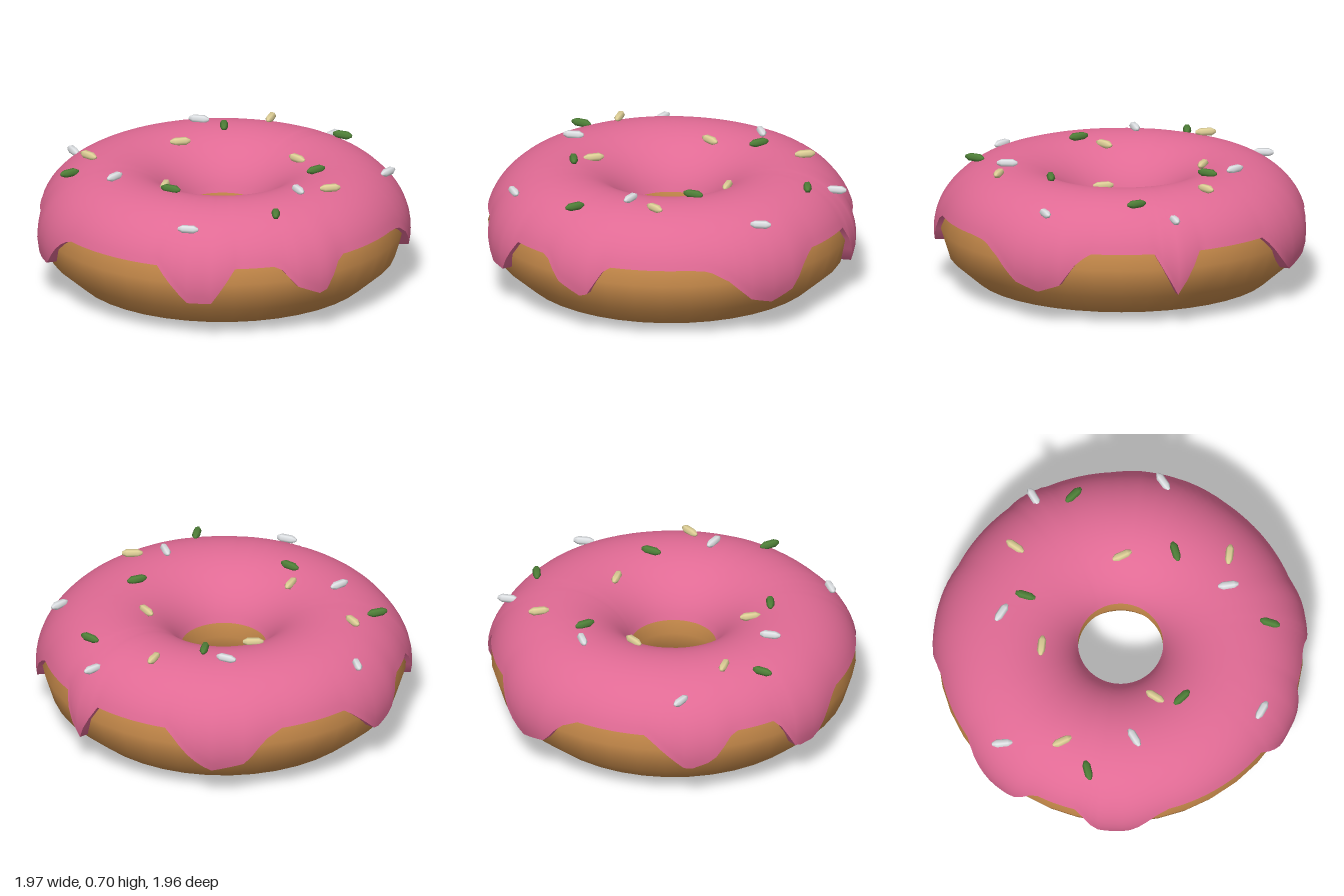
import * as THREE from 'three';

const RING = 0.6, MID_Y = 0.32, CX = -0.02, CZ = -0.008;
const ICING_R = 0.385, ICING_H = 0.345, RIM = 0.41;

// Lower icing edge: angle around the ring (degrees, from +x towards +z) and height
const edge = [
  [0, 0.18], [7.5, RIM], [28, RIM], [32, 0.36], [37.5, 0.23], [45, 0.18], [52.5, 0.22], [60, 0.34],
  [66, 0.4], [72, RIM], [99, RIM], [106, 0.22], [115, 0.29], [121, RIM], [135, RIM], [142.5, 0.22],
  [150, 0.22], [160, RIM], [196, RIM], [201, 0.36], [209, 0.21], [217, 0.21], [224, RIM], [239, RIM],
  [246, 0.26], [254, 0.21], [261, 0.32], [267, RIM], [290, RIM], [296, 0.36], [302, 0.23],
  [313, 0.18], [319, 0.26], [327, RIM], [352.5, RIM], [360, 0.18],
];

function edgeHeight(deg) {
  const k = edge.findIndex((e, i) => i > 0 && e[0] >= deg);
  const [a0, y0] = edge[k - 1], [a1, y1] = edge[k];
  return y0 + (y1 - y0) * (deg - a0) / (a1 - a0);
}

// Closed ring surface from rows; profile(row, degrees) gives [radius, height]
function ringSurface(rows, cols, profile) {
  const pos = [], index = [];
  for (let i = 0; i < rows; i++) {
    for (let j = 0; j < cols; j++) {
      const deg = 360 * j / cols, a = THREE.MathUtils.degToRad(deg);
      const [r, y] = profile(i, deg);
      pos.push(r * Math.cos(a), y, r * Math.sin(a));
      if (i === rows - 1) continue;
      const p = i * cols + j, q = i * cols + (j + 1) % cols;
      index.push(p, q, p + cols, q, q + cols, p + cols);
    }
  }
  const g = new THREE.BufferGeometry();
  g.setAttribute('position', new THREE.Float32BufferAttribute(pos, 3));
  g.setIndex(index);
  g.computeVertexNormals();
  return g;
}

// Icing cross-section: t runs from the inner rim (0) over the top to the dripping edge (1)
function icingPoint(t, deg) {
  const y = edgeHeight(deg);
  const start = Math.PI * 0.92, end = Math.asin((y - MID_Y) / ICING_H);
  const phi = start + (end - start) * t;
  const bulge = 0.03 * (RIM - y) / 0.23 * t ** 4;
  return [RING + ICING_R * Math.cos(phi) + bulge, MID_Y + ICING_H * Math.sin(phi)];
}

export function createModel() {
  const group = new THREE.Group();
  const material = (name, color, side = THREE.FrontSide) => {
    const m = new THREE.MeshStandardMaterial({ color, side });
    m.name = name;
    return m;
  };
  const doughMat = material('dough', 0xc88b4b);
  const icingMat = material('pink icing', 0xe06a94, THREE.DoubleSide);
  const white = material('white sprinkle', 0xdfe2e5);
  const green = material('green sprinkle', 0x4f8038);
  const cream = material('cream sprinkle', 0xe0d198);

  const add = (name, geometry, mat, x, y, z) => {
    const mesh = new THREE.Mesh(geometry, mat);
    mesh.name = name;
    mesh.position.set(x, y, z);
    group.add(mesh);
    return mesh;
  };

  // Dough ring
  const dough = new THREE.TorusGeometry(RING, 0.372, 12, 40);
  dough.rotateX(Math.PI / 2);
  dough.scale(1, MID_Y / 0.372, 1);
  add('dough', dough, doughMat, CX, MID_Y, CZ);

  // Icing with drips, and the narrow lips that meet the dough
  const ROWS = 25, COLS = 144;
  add('icing', ringSurface(ROWS, COLS, (i, d) => icingPoint(i / (ROWS - 1), d)), icingMat, CX, 0, CZ);
  const lip = (t, inset) => ringSurface(2, COLS, (i, d) => {
    const [r, y] = icingPoint(t, d);
    const inner = t === 0 ? i === 0 : i === 1;
    return [r + (inner ? inset : 0), y];
  });
  add('icingOuterLip', lip(1, -0.07), icingMat, CX, 0, CZ);
  add('icingInnerLip', lip(0, 0.05), icingMat, CX, 0, CZ);

  // Sprinkles: x, z and direction in plan
  const profile = [[0, -0.056], [0.009, -0.054], [0.021, -0.03], [0.022, 0.03], [0.009, 0.054], [0, 0.056]];
  const grain = new THREE.LatheGeometry(profile.map(([x, y]) => new THREE.Vector2(x, y)), 6);
  grain.rotateZ(-Math.PI / 2);
  const scatter = [
    ['whiteSprinkle', white, [
      [-0.24, -0.87, 0.45, -1], [0.37, -0.515, 0.5, 1], [-0.6, -0.265, 1, 0], [0.88, -0.015, 1, 0],
      [-0.785, 0.415, 0.6, 1], [-0.11, 0.605, 0.4, -1], [0.6, 0.62, 1, -0.07]]],
    ['greenSprinkle', green, [
      [-0.62, -0.565, 1, 0.3], [0.39, -0.355, 1, -0.9], [-0.53, 0.07, 0.25, 1], [0.76, 0.16, 0.25, 1],
      [0.2, 0.46, 1, 0.25], [-0.395, 0.695, 1, -0.9]]],
    ['creamSprinkle', cream, [
      [-0.42, -0.605, 0.08, -1], [0.11, -0.42, 1, 0.75], [0.66, -0.26, 1, -0.45], [-0.445, -0.045, 1, -0.5],
      [0.335, 0.21, 0.08, -1], [0.04, 0.7, 1, 0.75]]],
  ];
  for (const [name, mat, spots] of scatter) {
    for (const [x, z, dx, dz] of spots) {
      const r = Math.hypot(x - CX, z - CZ);
      const top = MID_Y + ICING_H * Math.sqrt(1 - ((r - RING) / ICING_R) ** 2);
      const y = top + 0.015 + 0.08 * Math.max(0, r - RING - 0.05);
      add(name, grain, mat, x, y, z).rotation.y = Math.atan2(-dz, dx);
    }
  }
  return group;
}
